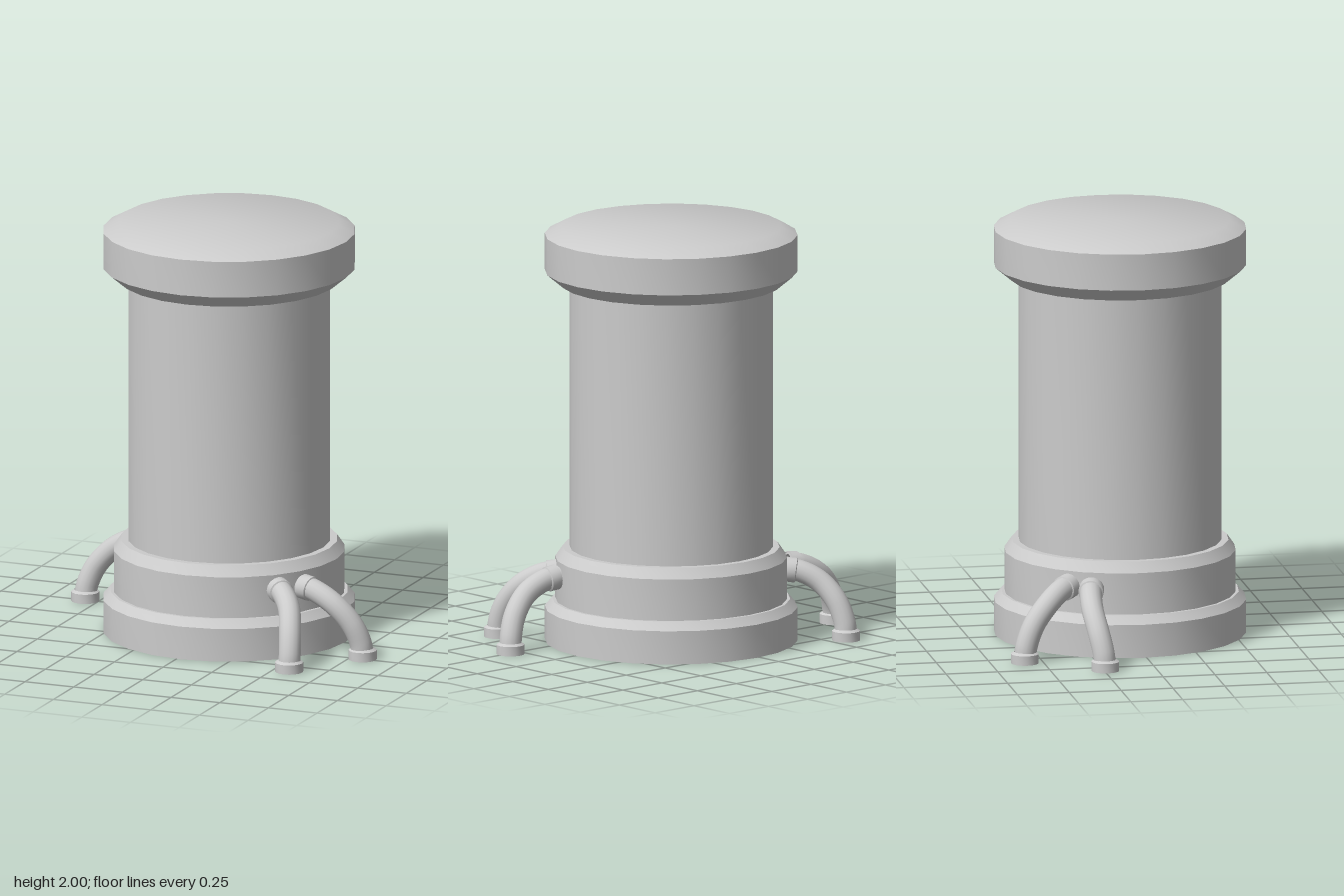
import * as THREE from 'three';
import { toCreasedNormals } from 'three/addons/utils/BufferGeometryUtils.js';

const grey = new THREE.MeshStandardMaterial({ color: 0xcccccc, side: THREE.DoubleSide });

function part(name, geometry) {
  const mesh = new THREE.Mesh(geometry, grey);
  mesh.name = name;
  return mesh;
}

// Turned part from [radius, height] pairs, with sharp profile edges
function turned(name, profile, sides) {
  const points = profile.map(([r, y]) => new THREE.Vector2(r, y));
  return part(name, toCreasedNormals(new THREE.LatheGeometry(points, sides), 0.5));
}

// Bent pipe with a socket at the wall and an open foot ring on the ground
function makePipe(name, path) {
  const pipe = new THREE.Group();
  pipe.name = name;
  const curve = new THREE.CatmullRomCurve3(path.map((p) => new THREE.Vector3(...p)));
  pipe.add(part('pipeTube', new THREE.TubeGeometry(curve, 20, 0.053, 16, false)));

  const socket = turned('pipeSocket', [[0.045, 0], [0.06, 0], [0.06, 0.05], [0.05, 0.055]], 16);
  const direction = curve.getTangentAt(0);
  socket.quaternion.setFromUnitVectors(new THREE.Vector3(0, 1, 0), direction);
  socket.position.copy(curve.getPointAt(0)).addScaledVector(direction, 0.01);
  pipe.add(socket);

  const foot = turned('pipeFoot', [[0.045, 0.03], [0.045, 0], [0.067, 0], [0.067, 0.045], [0.052, 0.055]], 16);
  const end = path[path.length - 1];
  foot.position.set(end[0], 0, end[2]);
  pipe.add(foot);
  return pipe;
}

export function createModel() {
  const model = new THREE.Group();
  model.name = 'pipedColumn';

  // Column body, slightly off the centre of the pipes
  const body = new THREE.Group();
  body.name = 'body';
  body.position.set(0.02, 0, -0.016);
  const sides = 24;

  // Hollow stepped base, open at the bottom
  body.add(turned('base', [
    [0.6, 0], [0.6, 0.16], [0.565, 0.2], [0.55, 0.2], [0.55, 0.4], [0.515, 0.45], [0.48, 0.45],
  ], sides));

  // Closed shaft
  body.add(turned('shaft', [[0, 0.45], [0.482, 0.45], [0.482, 1.72]], sides));

  // Bevelled cap
  body.add(turned('cap', [
    [0, 1.72], [0.522, 1.72], [0.6, 1.785], [0.6, 1.96], [0.525, 2], [0, 2],
  ], sides));
  model.add(body);

  // Pipe pairs, the second turned half round
  const paths = {
    sidePipe: [[0.5, 0.33, 0.25], [0.57, 0.32, 0.268], [0.68, 0.265, 0.28], [0.765, 0.175, 0.267], [0.806, 0.08, 0.25], [0.814, 0.01, 0.244]],
    cornerPipe: [[0.41, 0.33, 0.335], [0.465, 0.32, 0.39], [0.528, 0.27, 0.465], [0.565, 0.18, 0.54], [0.58, 0.08, 0.58], [0.58, 0.01, 0.588]],
  };
  for (const [name, path] of Object.entries(paths)) {
    const front = makePipe(name + 'Front', path);
    const back = makePipe(name + 'Back', path);
    back.rotation.y = Math.PI;
    model.add(front, back);
  }
  return model;
}
